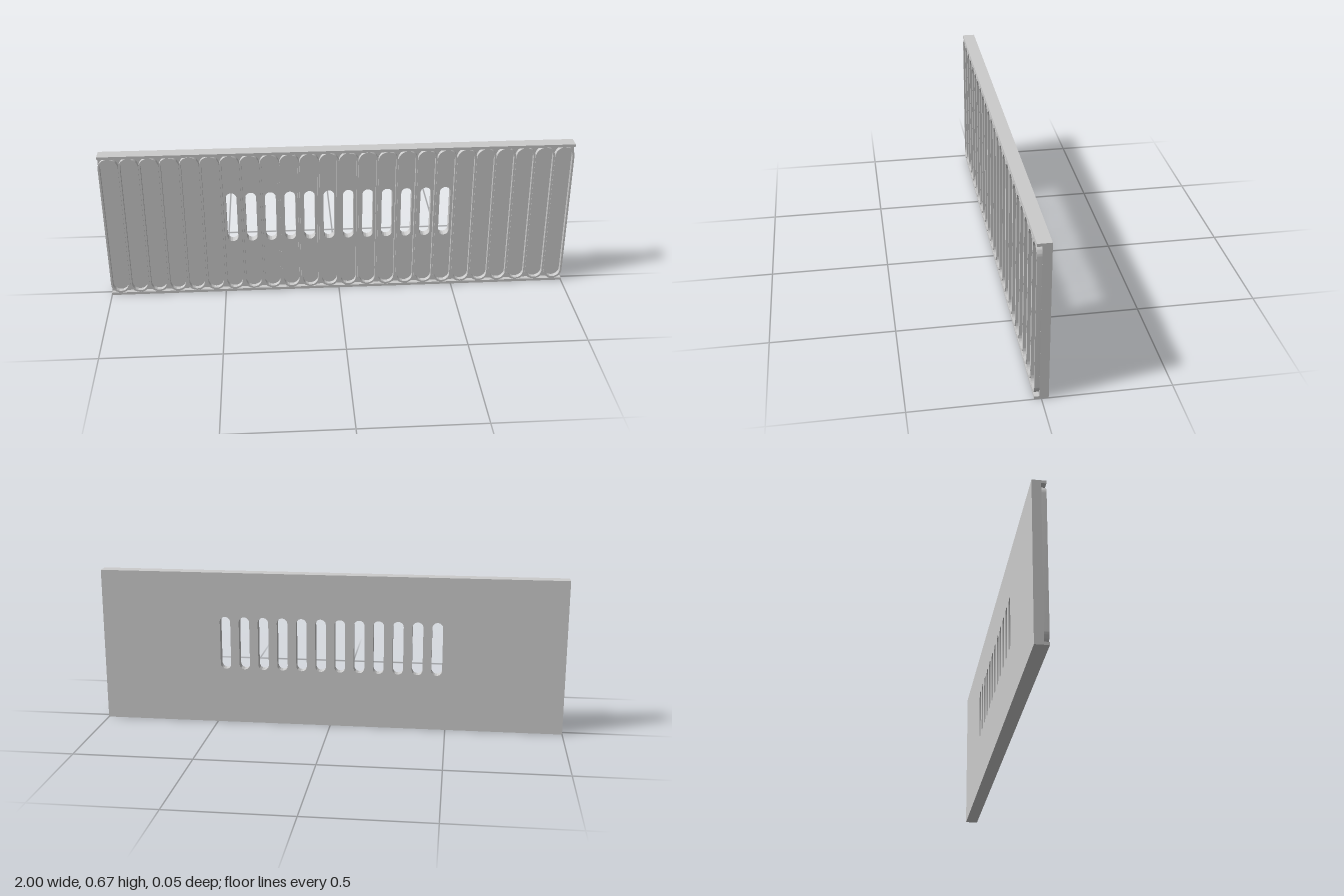
import * as THREE from 'three';
import { toCreasedNormals } from 'three/addons/utils/BufferGeometryUtils.js';

const WIDTH = 2, HEIGHT = 0.67, BACK = -0.0275, FLOOR = 0.008, FRONT = 0.0275;
const CELLS = 24, PITCH = WIDTH / CELLS, RIM = 0.012;

// Upright slot outline with round ends
function capsule(path, x, y0, y1, r) {
  path.moveTo(x + r, y0 + r);
  path.lineTo(x + r, y1 - r);
  path.absarc(x, y1 - r, r, 0, Math.PI, false);
  path.lineTo(x - r, y0 + r);
  path.absarc(x, y0 + r, r, Math.PI, Math.PI * 2, false);
  return path;
}

function extrude(shape, z0, z1) {
  const geo = new THREE.ExtrudeGeometry(shape, { depth: z1 - z0, bevelEnabled: false, curveSegments: 14 });
  geo.translate(0, 0, z0);
  return toCreasedNormals(geo, 0.6);
}

export function createModel() {
  const group = new THREE.Group();
  const material = new THREE.MeshStandardMaterial({ color: 0xcccccc });
  const add = (name, geo, x = 0, y = 0, z = 0) => {
    const mesh = new THREE.Mesh(geo, material);
    mesh.name = name;
    mesh.position.set(x, y, z);
    group.add(mesh);
  };
  const cellX = (i) => (i - (CELLS - 1) / 2) * PITCH;

  // Back plate, pierced by the twelve middle slots
  const plate = new THREE.Shape();
  plate.moveTo(-WIDTH / 2, 0);
  plate.lineTo(WIDTH / 2, 0);
  plate.lineTo(WIDTH / 2, HEIGHT);
  plate.lineTo(-WIDTH / 2, HEIGHT);
  plate.closePath();
  for (let i = 6; i < 18; i++) {
    plate.holes.push(capsule(new THREE.Path(), cellX(i), 0.243, 0.476, 0.023));
  }
  add('backPlate', extrude(plate, BACK, FLOOR));

  // Rims along the top and bottom edges
  const rim = new THREE.BoxGeometry(WIDTH, RIM, FRONT - FLOOR);
  add('bottomRim', rim, 0, RIM / 2, (FLOOR + FRONT) / 2);
  add('topRim', rim, 0, HEIGHT - RIM / 2, (FLOOR + FRONT) / 2);

  // Row of raised oval frames
  const frame = capsule(new THREE.Shape(), 0, RIM, HEIGHT - RIM, 0.0414);
  frame.holes.push(capsule(new THREE.Path(), 0, RIM + 0.008, HEIGHT - RIM - 0.008, 0.0334));
  const frameGeo = extrude(frame, FLOOR, FRONT);
  for (let i = 0; i < CELLS; i++) add('ovalFrame', frameGeo, cellX(i));

  return group;
}
